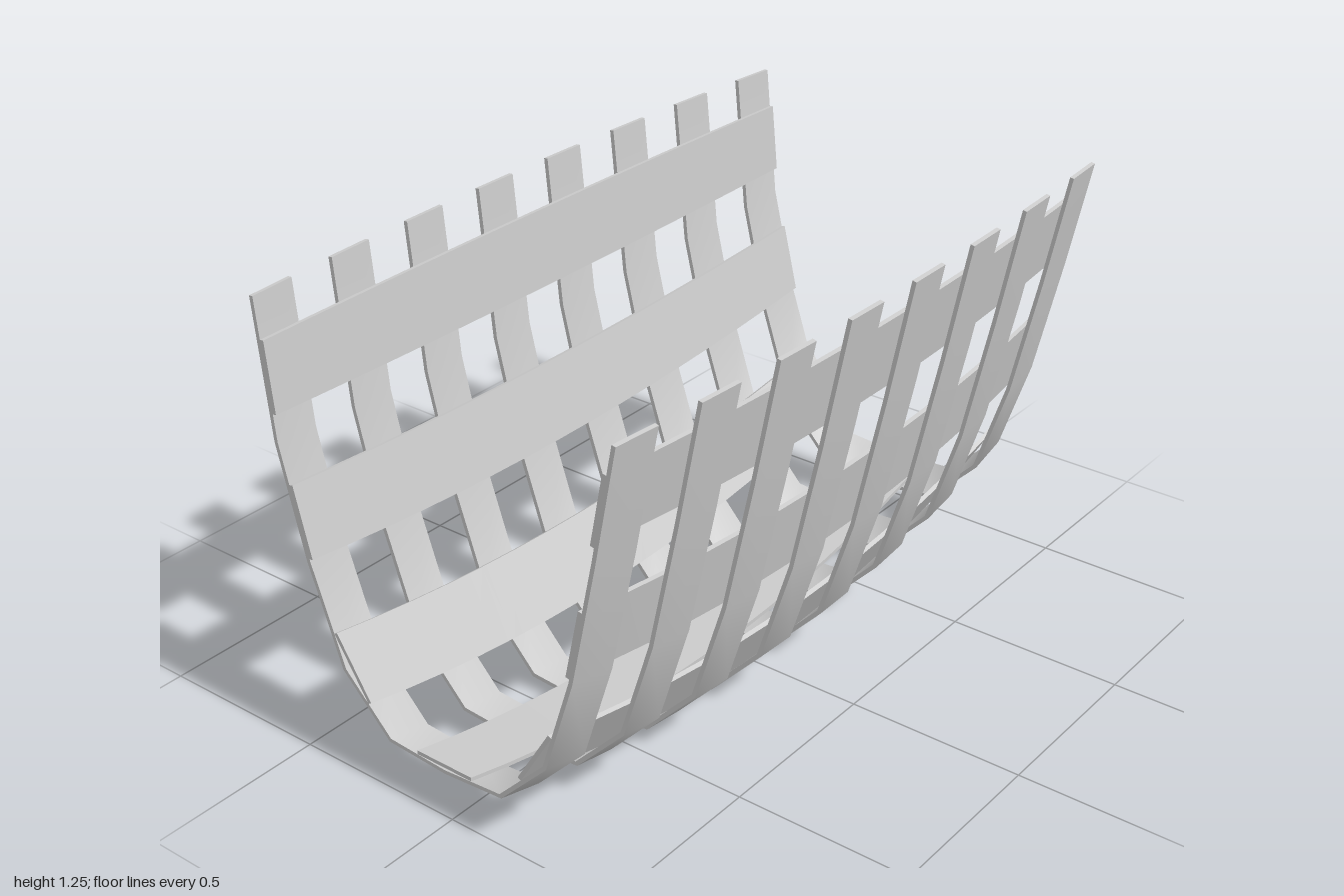
import * as THREE from 'three';
import { toCreasedNormals } from 'three/addons/utils/BufferGeometryUtils.js';

const RIB = 0.012, PLANK = 0.012;      // thicknesses
const RIB_WIDTH = 0.13, RIBS = 8;

// Outer midship section, from the left-hand rim round the keel to the other rim
const OUTER = [
  [-0.588, 1.25], [-0.55, 0.834], [-0.471, 0.495], [-0.369, 0.183], [-0.214, 0.014], [-0.016, 0],
  [0.181, 0.014], [0.339, 0.183], [0.435, 0.488], [0.517, 0.866], [0.586, 1.215],
];

// The section narrows and its bottom rises towards both ends
const warp = ([x, y], z) => [x * (1 - 0.065 * z * z), y + 0.132 * z * z * (1 - y / 1.25), z];

// Moves a section line inward by t, with mitred corners
function offset(points, t) {
  const normal = (a, b) => new THREE.Vector2(a[1] - b[1], b[0] - a[0]).normalize();
  return points.map((p, i) => {
    const n0 = normal(points[Math.max(i - 1, 0)], points[Math.max(i, 1)]);
    const last = points.length - 1;
    const n1 = normal(points[Math.min(i, last - 1)], points[Math.min(i + 1, last)]);
    const m = n0.clone().add(n1).normalize();
    const d = t / m.dot(n0);
    return [p[0] + m.x * d, p[1] + m.y * d];
  });
}

const INNER = offset(OUTER, RIB);

// Point of the inner section at height y on one side (-1 or 1)
function atHeight(side, y) {
  for (let i = 0; i < INNER.length - 1; i++) {
    const [a, b] = [INNER[i], INNER[i + 1]];
    if ((a[0] + b[0]) * side > 0 && (a[1] - y) * (b[1] - y) <= 0) {
      return [THREE.MathUtils.mapLinear(y, a[1], b[1], a[0], b[0]), y];
    }
  }
  return null;
}

// Closed bent board: a section line of given thickness carried through the z stations
function board(name, line, thickness, stations, material) {
  const a = stations.map((z) => line.map((p) => warp(p, z)));
  const b = stations.map((z) => offset(line, thickness).map((p) => warp(p, z)));
  const pos = [];
  const quad = (p, q, r, s) => pos.push(...p, ...q, ...r, ...p, ...r, ...s);
  const n = line.length - 1, m = stations.length - 1;
  for (let j = 0; j < m; j++) {
    for (let i = 0; i < n; i++) {
      quad(a[j][i], a[j][i + 1], a[j + 1][i + 1], a[j + 1][i]);
      quad(b[j][i], b[j + 1][i], b[j + 1][i + 1], b[j][i + 1]);
    }
    quad(a[j][0], a[j + 1][0], b[j + 1][0], b[j][0]);
    quad(a[j][n], b[j][n], b[j + 1][n], a[j + 1][n]);
  }
  for (let i = 0; i < n; i++) {
    quad(a[0][i], b[0][i], b[0][i + 1], a[0][i + 1]);
    quad(a[m][i], a[m][i + 1], b[m][i + 1], b[m][i]);
  }
  const geometry = new THREE.BufferGeometry();
  geometry.setAttribute('position', new THREE.Float32BufferAttribute(pos, 3));
  const mesh = new THREE.Mesh(toCreasedNormals(geometry, 0.85), material);
  mesh.name = name;
  return mesh;
}

export function createModel() {
  const model = new THREE.Group();
  model.name = 'slattedCradle';
  const material = new THREE.MeshStandardMaterial({ color: 0xcccccc });

  // Curved cross ribs on the outside
  const ribs = new THREE.Group();
  ribs.name = 'ribs';
  const stations = [];
  for (let i = 0; i < RIBS; i++) {
    const z = -1 + (i * (2 - RIB_WIDTH)) / (RIBS - 1);
    stations.push(z, z + RIB_WIDTH);
    ribs.add(board(`rib${i + 1}`, OUTER, RIB, [z, z + RIB_WIDTH], material));
  }

  // Lengthwise planks lying on the inside of the ribs
  const planks = new THREE.Group();
  planks.name = 'planks';
  const keel = [[-0.112, 0.02], [0.078, 0.02]];
  planks.add(board('keelPlank', keel, PLANK, stations, material));
  const heights = { lower: [0.108, 0.292], middle: [0.503, 0.716], upper: [0.918, 1.13] };
  for (const [level, [low, high]] of Object.entries(heights)) {
    const left = [atHeight(1, low), atHeight(1, high)];
    const right = [atHeight(-1, high), atHeight(-1, low)];
    planks.add(board(`${level}LeftPlank`, left, PLANK, stations, material));
    planks.add(board(`${level}RightPlank`, right, PLANK, stations, material));
  }

  model.add(ribs, planks);
  return model;
}
